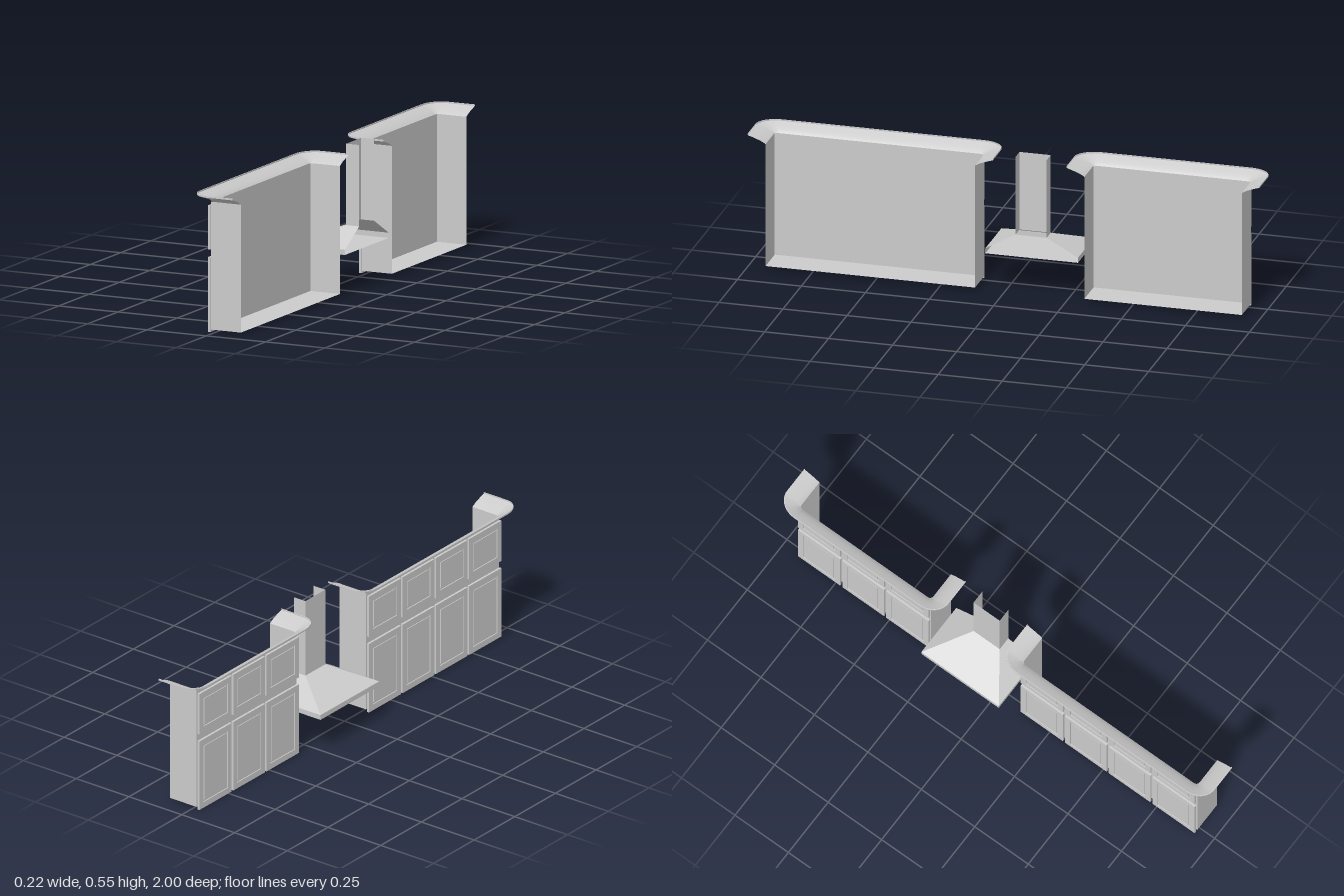
import * as THREE from 'three';
import { toCreasedNormals } from 'three/addons/utils/BufferGeometryUtils.js';

const solid = new THREE.MeshStandardMaterial({ color: 0xcccccc });
const sheet = new THREE.MeshStandardMaterial({ color: 0xcccccc, side: THREE.DoubleSide });

const BACK = 0.11;    // open wall side
const FACE = -0.015;  // carcass face behind the doors
const BASE = 0.01;
const TOP = 0.5;

function add(parent, name, geometry, material = solid) {
  const mesh = new THREE.Mesh(geometry, material);
  mesh.name = name;
  parent.add(mesh);
  return mesh;
}

function addBox(parent, name, [x0, x1], [y0, y1], [z0, z1]) {
  const mesh = add(parent, name, new THREE.BoxGeometry(x1 - x0, y1 - y0, z1 - z0));
  mesh.position.set((x0 + x1) / 2, (y0 + y1) / 2, (z0 + z1) / 2);
}

// Thin sheet joining rows of points; every row has the same length
function loft(rows) {
  const n = rows[0].length;
  const index = [];
  for (let r = 0; r < rows.length - 1; r++) {
    for (let i = 0; i < n - 1; i++) {
      const a = r * n + i, b = a + 1, c = a + n, d = c + 1;
      index.push(a, b, d, a, d, c);
    }
  }
  const geometry = new THREE.BufferGeometry();
  geometry.setAttribute('position', new THREE.Float32BufferAttribute(rows.flat(2), 3));
  geometry.setIndex(index);
  return toCreasedNormals(geometry, 0.5);
}

// Three-sided run of points, open towards the wall
function openU(x, y, z0, z1) {
  return [[BACK, y, z0], [x, y, z0], [x, y, z1], [BACK, y, z1]];
}

function floorSheet(x, y, z0, z1) {
  return loft([[[x, y, z0], [BACK, y, z0]], [[x, y, z1], [BACK, y, z1]]]);
}

function rectPath(Type, z0, z1, y0, y1) {
  const path = new Type();
  path.moveTo(z0, y0).lineTo(z1, y0).lineTo(z1, y1).lineTo(z0, y1).closePath();
  return path;
}

// Framed door facing -x with a raised centre panel
function makeDoor(name, z0, z1, y0, y1) {
  const door = new THREE.Group();
  door.name = name;
  const w = 0.024;
  const shape = rectPath(THREE.Shape, z0, z1, y0, y1);
  shape.holes.push(rectPath(THREE.Path, z0 + w, z1 - w, y0 + w, y1 - w));
  const frame = new THREE.ExtrudeGeometry(shape, { depth: 0.009, bevelEnabled: false });
  frame.rotateY(-Math.PI / 2);
  add(door, 'doorFrame', frame).position.x = -0.0195;
  addBox(door, 'doorPanel', [-0.0245, -0.0195], [y0 + w, y1 - w], [z0 + w, z1 - w]);
  const p = w + 0.007;
  addBox(door, 'raisedPanel', [-0.0275, -0.0245], [y0 + p, y1 - p], [z0 + p, z1 - p]);
  addBox(door, 'doorBacking', [-0.0195, FACE], [y0 + 0.009, y1 - 0.007], [z0 + 0.007, z1 - 0.007]);
  return door;
}

// Flared crown moulding with rounded corners, wrapped round three sides
function crownGeometry(z0, z1) {
  const profile = [[0, TOP], [0.06, 0.503], [0.3, 0.512], [0.65, 0.521], [0.96, 0.528], [1, 0.529], [1, 0.535], [0.95, 0.535]];
  const r = 0.015, steps = 10;
  return loft(profile.map(([t, y]) => {
    const rx = r + 0.055 * t, rz = r + 0.07 * t;
    const row = [[BACK, y, z0 + r - rz]];
    for (const [cz, sign] of [[z0 + r, -1], [z1 - r, 1]]) {
      for (let i = 0; i <= steps; i++) {
        const a = (sign < 0 ? steps - i : i) / steps * Math.PI / 2;
        row.push([-rx * Math.cos(a), y, cz + sign * rz * Math.sin(a)]);
      }
    }
    row.push([BACK, y, z1 - r + rz]);
    return row;
  }));
}

function makeCabinet(name, z0, z1, doors) {
  const cabinet = new THREE.Group();
  cabinet.name = name;
  add(cabinet, 'carcassWalls', loft([openU(FACE, BASE, z0, z1), openU(FACE, TOP, z0, z1)]), sheet);
  add(cabinet, 'carcassFloor', floorSheet(FACE, BASE, z0, z1), sheet);
  add(cabinet, 'crownMoulding', crownGeometry(z0, z1), sheet);
  const pitch = (z1 - z0) / doors, gap = 0.005;
  for (let i = 0; i < doors; i++) {
    const a = z0 + i * pitch + (i > 0 ? gap : 0.002);
    const b = z0 + (i + 1) * pitch - (i < doors - 1 ? gap : 0.002);
    cabinet.add(makeDoor('lowerDoor', a, b, 0, 0.287));
    cabinet.add(makeDoor('upperDoor', a, b, 0.316, 0.485));
  }
  return cabinet;
}

// Extractor hood between the cabinets
function makeHood() {
  const hood = new THREE.Group();
  hood.name = 'extractorHood';
  const z0 = -0.29, z1 = 0.072, c0 = -0.168, c1 = -0.046;
  add(hood, 'canopyRim', loft([openU(-0.11, 0.152, z0, z1), openU(-0.11, 0.172, z0, z1)]), sheet);
  add(hood, 'canopySlope', loft([openU(-0.11, 0.172, z0, z1), openU(0.055, 0.24, c0, c1)]), sheet);
  add(hood, 'canopyUnderside', floorSheet(-0.11, 0.152, z0, z1), sheet);
  add(hood, 'chimney', loft([openU(0.055, 0.24, c0, c1), openU(0.055, 0.552, c0, c1)]), sheet);
  // Control buttons on the rim
  for (let i = -1; i <= 1; i++) {
    const button = add(hood, 'button', new THREE.CylinderGeometry(0.002, 0.002, 0.002, 10));
    button.rotation.z = Math.PI / 2;
    button.position.set(-0.111, 0.163, (z0 + z1) / 2 + i * 0.012);
  }
  return hood;
}

export function createModel() {
  const model = new THREE.Group();
  model.name = 'wallCabinetsWithHood';
  model.add(makeCabinet('wideCabinet', 0.112, 0.93, 4));
  model.add(makeCabinet('narrowCabinet', -0.93, -0.315, 3));
  model.add(makeHood());
  return model;
}
